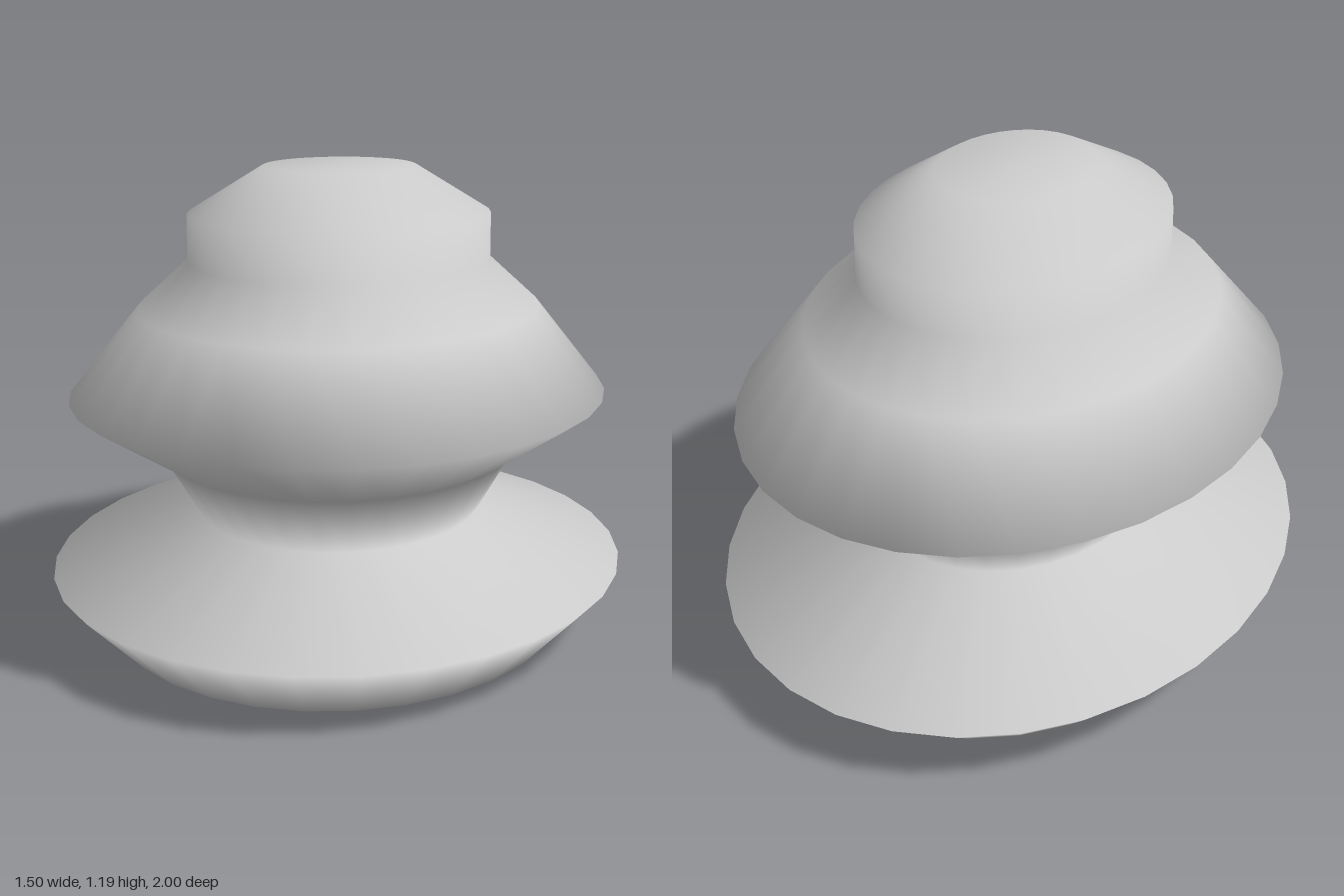
import * as THREE from 'three';

export function createModel() {
  const group = new THREE.Group();
  const material = new THREE.MeshStandardMaterial({ color: 0xcccccc });

  // Half-width and height, from the underside up to the crown
  const profile = [
    [0, 0], [0.6, 0], [0.75, 0.16],                    // flared foot
    [0.373, 0.287], [0.466, 0.448],                    // waist
    [0.7, 0.607], [0.526, 0.826], [0.395, 0.946],      // wide body
    [0.395, 1.067], [0.2, 1.187], [0, 1.187],          // neck and cap
  ].map(([r, y]) => new THREE.Vector2(r, y));

  // Smooth turned body, stretched to an oval along z
  const geometry = new THREE.LatheGeometry(profile, 32);
  geometry.scale(1, 4 / 3, 1).scale(1, 3 / 4, 4 / 3);

  const body = new THREE.Mesh(geometry, material);
  body.name = 'ovalTurnedBody';
  group.add(body);
  return group;
}
